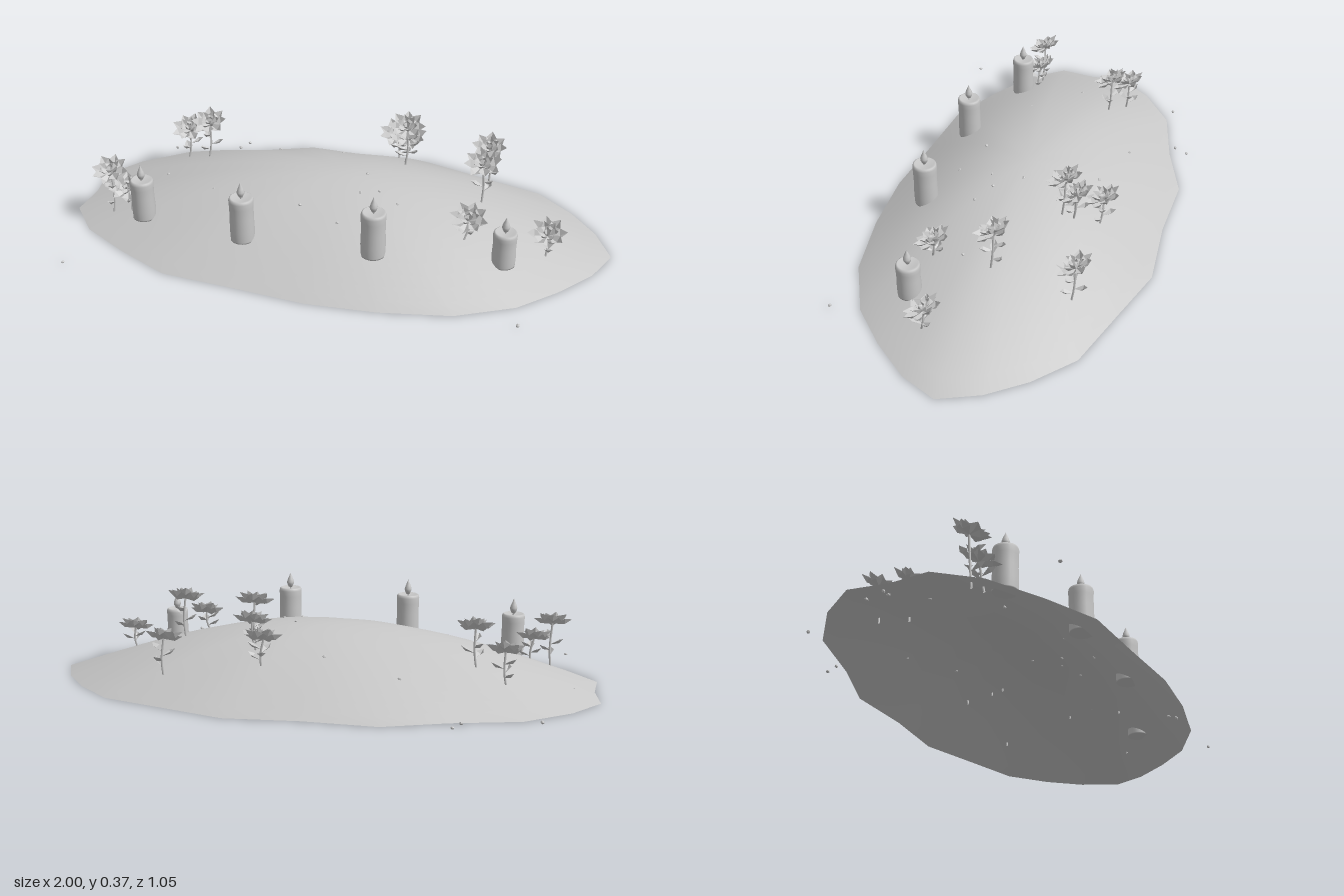
import * as THREE from 'three';
import { mergeGeometries } from 'three/addons/utils/BufferGeometryUtils.js';

const stone = new THREE.MeshStandardMaterial({ color: 0xc8c8c8, side: THREE.DoubleSide });
stone.name = 'pale grey';

function part(name, geometry, parent) {
  const mesh = new THREE.Mesh(geometry, stone);
  mesh.name = name;
  parent.add(mesh);
  return mesh;
}

// Uneven outline of the mound, as x, z pairs running from +x towards +z
const rim = [
  [1, 0], [0.94, 0.13], [0.83, 0.26], [0.7, 0.38], [0.5, 0.475], [0.25, 0.515],
  [0, 0.525], [-0.27, 0.495], [-0.53, 0.47], [-0.72, 0.375], [-0.9, 0.265], [-1, 0.135],
  [-0.985, 0], [-1, -0.135], [-0.9, -0.265], [-0.74, -0.385], [-0.5, -0.445], [-0.28, -0.525],
  [-0.02, -0.513], [0.25, -0.53], [0.47, -0.46], [0.71, -0.385], [0.845, -0.265], [0.94, -0.14],
];
const dome = (t) => 0.22 * Math.cos(Math.min(t, 1) * Math.PI / 2);
const groundAt = (x, z) => dome(Math.hypot(x / 0.99, z / 0.52));

// Open shell: rings of the outline shrinking up to the summit
function moundGeometry() {
  const rings = 14, n = rim.length, pos = [0, 0.22, 0], index = [];
  for (let i = 1; i <= rings; i++) {
    const t = i / rings;
    for (const [x, z] of rim) pos.push(x * t, dome(t), z * t);
  }
  for (let j = 0; j < n; j++) {
    const k = (j + 1) % n;
    index.push(0, 1 + k, 1 + j);
    for (let i = 0; i < rings - 1; i++) {
      const a = 1 + i * n, b = a + n;
      index.push(a + j, a + k, b + j, a + k, b + k, b + j);
    }
  }
  const g = new THREE.BufferGeometry();
  g.setAttribute('position', new THREE.Float32BufferAttribute(pos, 3));
  g.setIndex(index);
  g.computeVertexNormals();
  return g;
}

function lathe(points, sides) {
  return new THREE.LatheGeometry(points.map(([r, y]) => new THREE.Vector2(r, y)), sides);
}

function makeCandle(x, z, bottom, top, r) {
  const candle = new THREE.Group();
  candle.name = 'candle';
  const h = top - bottom;
  part('candleWax', lathe([
    [0, 0], [r * 0.97, 0], [r * 0.97, 0.005], [r, h * 0.25], [r * 0.96, h * 0.55], [r * 0.98, h * 0.8],
    [r, h - 0.012], [r * 0.94, h - 0.003], [r * 0.82, h], [r * 0.68, h - 0.005], [0, h - 0.007],
  ], 24), candle);
  part('wick', new THREE.CylinderGeometry(0.003, 0.003, 0.016, 6), candle).position.y = h;
  part('flame', lathe([
    [0, 0], [0.007, 0.004], [0.013, 0.016], [0.014, 0.024], [0.01, 0.036], [0.004, 0.05], [0, 0.06],
  ], 10), candle).position.y = h - 0.003;
  candle.position.set(x, bottom, z);
  return candle;
}

// Folded kite-shaped blade pointing along +z, tilted upward and turned about y
function blade(length, width, lift, turn) {
  const w = width / 2, fold = width * 0.18;
  const base = [0, 0, 0], mid = [0, -fold, length * 0.6], tip = [0, fold, length];
  const left = [w, fold, length * 0.62], right = [-w, fold, length * 0.62];
  const g = new THREE.BufferGeometry();
  g.setAttribute('position', new THREE.Float32BufferAttribute(
    [base, mid, left, left, mid, tip, base, right, mid, mid, right, tip].flat(), 3));
  g.computeVertexNormals();
  return g.rotateX(-lift).rotateY(turn);
}

function bladeRing(count, length, width, lift, offset) {
  return Array.from({ length: count }, (_, i) =>
    blade(length, width, lift + (i % 2) * 0.12, offset + i / count * Math.PI * 2));
}

const headGeometry = mergeGeometries([
  ...bladeRing(8, 0.072, 0.042, 0.14, 0),
  ...bladeRing(6, 0.052, 0.032, 0.55, 0.3),
  ...bladeRing(4, 0.034, 0.022, 0.95, 0.1),
]);

function makeFlower(x, y, z, i) {
  const flower = new THREE.Group();
  flower.name = 'flower';
  const turn = i * 1.9;
  const footX = x + 0.012 * Math.sin(turn), footZ = z + 0.012;
  const foot = new THREE.Vector3(footX, Math.min(groundAt(footX, footZ), y - 0.08) - 0.01, footZ);
  const neck = new THREE.Vector3(x, y - 0.012, z);
  const bend = foot.clone().lerp(neck, 0.5).add(new THREE.Vector3(0.006, 0, -0.004));
  const path = new THREE.CatmullRomCurve3([foot, bend, neck]);
  part('stem', new THREE.TubeGeometry(path, 6, 0.0038, 6), flower);
  const head = part('flowerHead', headGeometry, flower);
  head.position.copy(neck);
  head.rotation.set(0.42, 0, 0);
  head.rotateY(turn);
  // Leaves in a loose spiral up the stem
  for (let k = 0; k < 4; k++) {
    const leaf = part('leaf', blade(0.055, 0.03, 0.4, turn + k * 2.2), flower);
    leaf.position.copy(path.getPoint(0.32 + k * 0.12));
  }
  return flower;
}

export function createModel() {
  const model = new THREE.Group();
  model.name = 'candlelitMound';
  part('mound', moundGeometry(), model);

  // x, z, bottom, top, radius
  [
    [-0.685, 0.23, 0.068, 0.226, 0.043],
    [-0.275, 0.325, 0.095, 0.265, 0.044],
    [0.195, 0.328, 0.104, 0.275, 0.044],
    [0.633, 0.222, 0.062, 0.195, 0.042],
  ].forEach((c) => model.add(makeCandle(...c)));

  // x, y, z of each flower head
  [
    [-0.83, 0.218, 0.175], [-0.765, 0.155, 0.18], [-0.67, 0.205, -0.23], [-0.565, 0.27, -0.18],
    [0.15, 0.235, -0.325], [0.21, 0.335, -0.2], [0.21, 0.275, -0.24], [0.51, 0.22, -0.32],
    [0.515, 0.305, -0.04], [0.5, 0.205, 0.18], [0.77, 0.145, 0.115],
  ].forEach((f, i) => model.add(makeFlower(...f, i)));

  // Scattered pebbles
  const pebble = new THREE.IcosahedronGeometry(0.007, 0);
  [
    [-0.515, -0.51], [-0.54, -0.46], [-0.8, -0.4], [-0.895, 0.495], [0.715, 0.485], [-0.32, -0.315],
    [-0.05, -0.26], [-0.89, -0.135], [-0.91, -0.065], [-0.855, -0.08], [-0.69, -0.03], [-0.45, 0.12],
    [-0.1, 0.195], [0.1, -0.015], [0.1, 0.105], [0.165, 0.08], [0.24, 0.125], [0.05, 0.25],
    [0.49, 0.08], [0.41, 0.415], [0.39, 0.45],
  ].forEach(([x, z], i) => {
    const p = part('pebble', pebble, model);
    p.position.set(x, Math.max(groundAt(x, z), 0.007), z);
    p.rotation.set(i, i * 2, 0);
    p.scale.y = 0.8;
  });
  return model;
}
